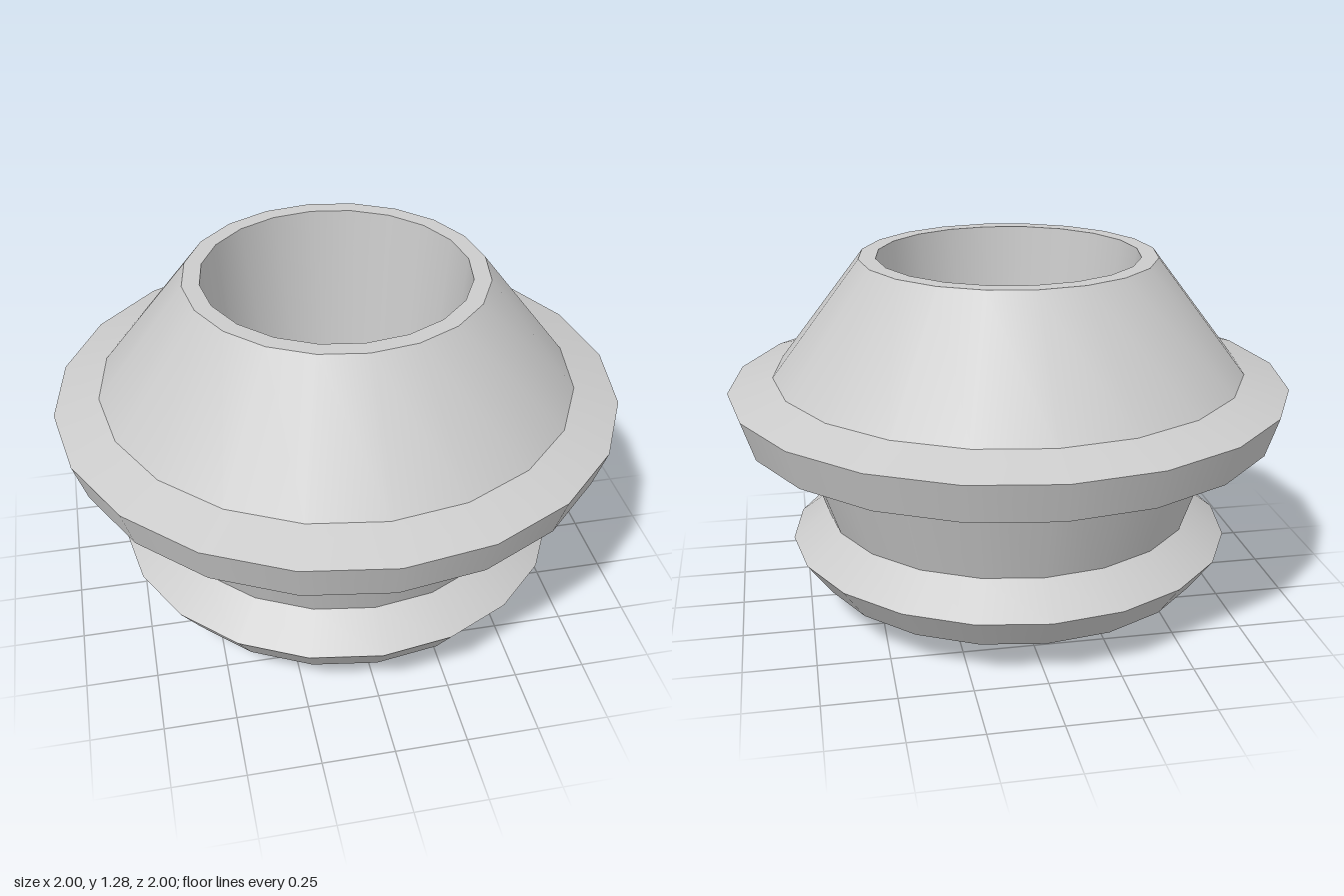
import * as THREE from 'three';
import { mergeGeometries } from 'three/addons/utils/BufferGeometryUtils.js';

const SIDES = 20;

// Revolves a [radius, height] profile as separate bands: smooth around, sharp between bands.
function revolve(profile) {
  const bands = [];
  for (let i = 0; i < profile.length - 1; i++) {
    const ends = [profile[i], profile[i + 1]].map(([r, y]) => new THREE.Vector2(r, y));
    bands.push(new THREE.LatheGeometry(ends, SIDES));
  }
  return mergeGeometries(bands);
}

export function createModel() {
  const group = new THREE.Group();
  group.name = 'flangedRing';
  const material = new THREE.MeshStandardMaterial({ color: 0xcccccc });

  // Profiles run from the bottom up the outside, then down the bore
  const parts = {
    foot: [[0.36, 0], [0.41, 0], [0.58, 0.22]],
    lowerFlange: [[0.58, 0.22], [0.715, 0.13], [0.8, 0.25], [0.67, 0.35]],
    neck: [[0.67, 0.35], [0.797, 0.73]],
    upperFlange: [[0.797, 0.73], [0.955, 0.68], [1, 0.82], [0.84, 0.87]],
    taperedTop: [[0.84, 0.87], [0.525, 1.28], [0.465, 1.28]],
    bore: [[0.465, 1.28], [0.36, 0]],
  };
  for (const [name, profile] of Object.entries(parts)) {
    const mesh = new THREE.Mesh(revolve(profile), material);
    mesh.name = name;
    group.add(mesh);
  }
  return group;
}
